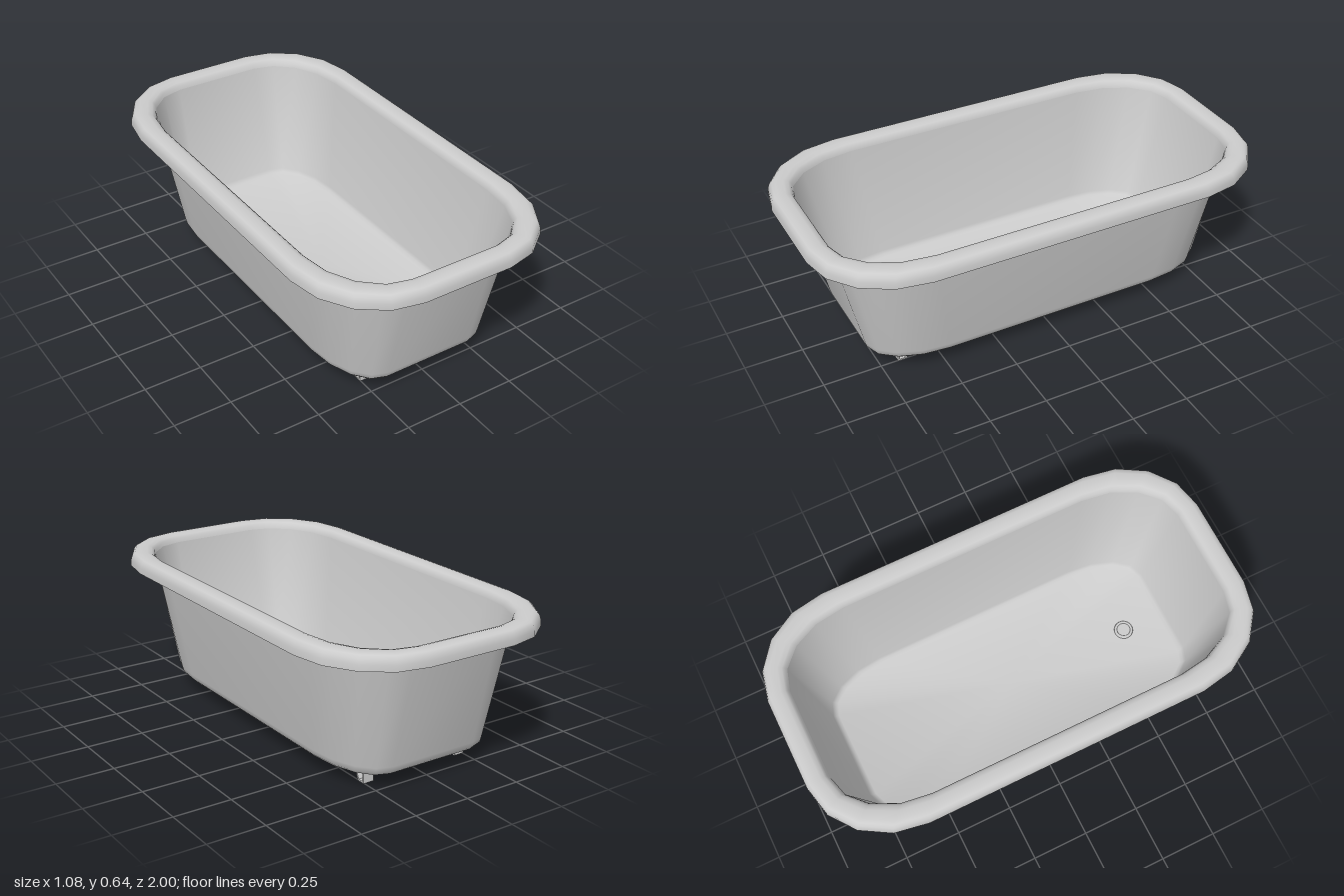
import * as THREE from 'three';
import { toCreasedNormals } from 'three/addons/utils/BufferGeometryUtils.js';

const material = new THREE.MeshStandardMaterial({ color: 0xcccccc, side: THREE.DoubleSide });
const CORNER_STEPS = 4;

// Rounded rectangle at height y, counter-clockwise seen from above
function ring([halfWidth, halfLength, y]) {
  const sx = Math.min(0.2, halfWidth * 0.6);
  const sz = halfLength * 0.62;
  const points = [];
  for (let q = 0; q < 4; q++) {
    const signX = q < 2 ? 1 : -1;
    const signZ = q === 0 || q === 3 ? 1 : -1;
    for (let i = 0; i <= CORNER_STEPS; i++) {
      const a = (q + i / CORNER_STEPS) * Math.PI / 2;
      points.push(
        signX * sx + (halfWidth - sx) * Math.sin(a),
        y,
        signZ * sz + (halfLength - sz) * Math.cos(a)
      );
    }
  }
  return points;
}

// Skin through rings; a ring of zero width closes the surface at its centre
function loft(name, sections, crease) {
  const n = 4 * (CORNER_STEPS + 1);
  const index = [];
  for (let s = 0; s < sections.length - 1; s++) {
    for (let i = 0; i < n; i++) {
      const j = (i + 1) % n;
      const a = s * n + i, b = s * n + j, c = a + n, d = b + n;
      if (sections[s][0] > 0) index.push(a, b, d);
      if (sections[s + 1][0] > 0) index.push(a, d, c);
    }
  }
  const geometry = new THREE.BufferGeometry();
  geometry.setAttribute('position', new THREE.Float32BufferAttribute(sections.flatMap(ring), 3));
  geometry.setIndex(index);
  const mesh = new THREE.Mesh(toCreasedNormals(geometry, crease), material);
  mesh.name = name;
  return mesh;
}

// Bent strip foot, drawn in the z-y plane and extruded across x
function foot(signX, signZ) {
  const shape = new THREE.Shape([
    [0.675, 0.07], [0.675, 0], [0.637, 0], [0.605, 0.07],
    [0.613, 0.07], [0.642, 0.007], [0.668, 0.007], [0.668, 0.07]
  ].map(([z, y]) => new THREE.Vector2(signZ * z, y)));
  const width = 0.047;
  const geometry = new THREE.ExtrudeGeometry(shape, { depth: width, bevelEnabled: false });
  geometry.translate(0, 0, -width / 2);
  geometry.rotateY(-Math.PI / 2);
  const mesh = new THREE.Mesh(geometry, material);
  mesh.position.x = signX * 0.23;
  mesh.name = `${signZ > 0 ? 'front' : 'back'}${signX > 0 ? 'Left' : 'Right'}Foot`;
  return mesh;
}

export function createModel() {
  const tub = new THREE.Group();
  tub.name = 'bathtub';

  // Tapered outside, rounded where it meets the underside
  tub.add(loft('outerShell', [
    [0, 0, 0.066], [0.335, 0.755, 0.066], [0.352, 0.775, 0.07],
    [0.363, 0.786, 0.082], [0.369, 0.792, 0.105], [0.446, 0.91, 0.622]
  ], 0.9));

  // Rolled rim with a hollow underside
  tub.add(loft('rim', [
    [0.446, 0.91, 0.622], [0.515, 0.975, 0.622], [0.53, 0.99, 0.61], [0.534, 0.994, 0.58],
    [0.54, 1, 0.58], [0.539, 0.999, 0.605], [0.533, 0.993, 0.626], [0.523, 0.983, 0.637],
    [0.508, 0.968, 0.641], [0.475, 0.935, 0.641], [0.457, 0.917, 0.636],
    [0.446, 0.906, 0.625], [0.442, 0.9, 0.608]
  ], 0.9));

  // Inside walls and floor
  tub.add(loft('innerBasin', [
    [0.442, 0.9, 0.608], [0.363, 0.78, 0.105], [0.357, 0.768, 0.09],
    [0.345, 0.755, 0.082], [0, 0, 0.08]
  ], 0.9));

  // Drain ring and plug
  const drain = new THREE.Group();
  drain.name = 'drain';
  const collar = new THREE.Mesh(new THREE.TorusGeometry(0.036, 0.007, 8, 24), material);
  collar.name = 'drainRing';
  collar.rotation.x = -Math.PI / 2;
  const plug = new THREE.Mesh(new THREE.CylinderGeometry(0.03, 0.03, 0.006, 24), material);
  plug.name = 'drainPlug';
  drain.add(collar, plug);
  drain.position.set(0, 0.083, 0.58);
  tub.add(drain);

  for (const x of [-1, 1]) for (const z of [-1, 1]) tub.add(foot(x, z));
  return tub;
}
